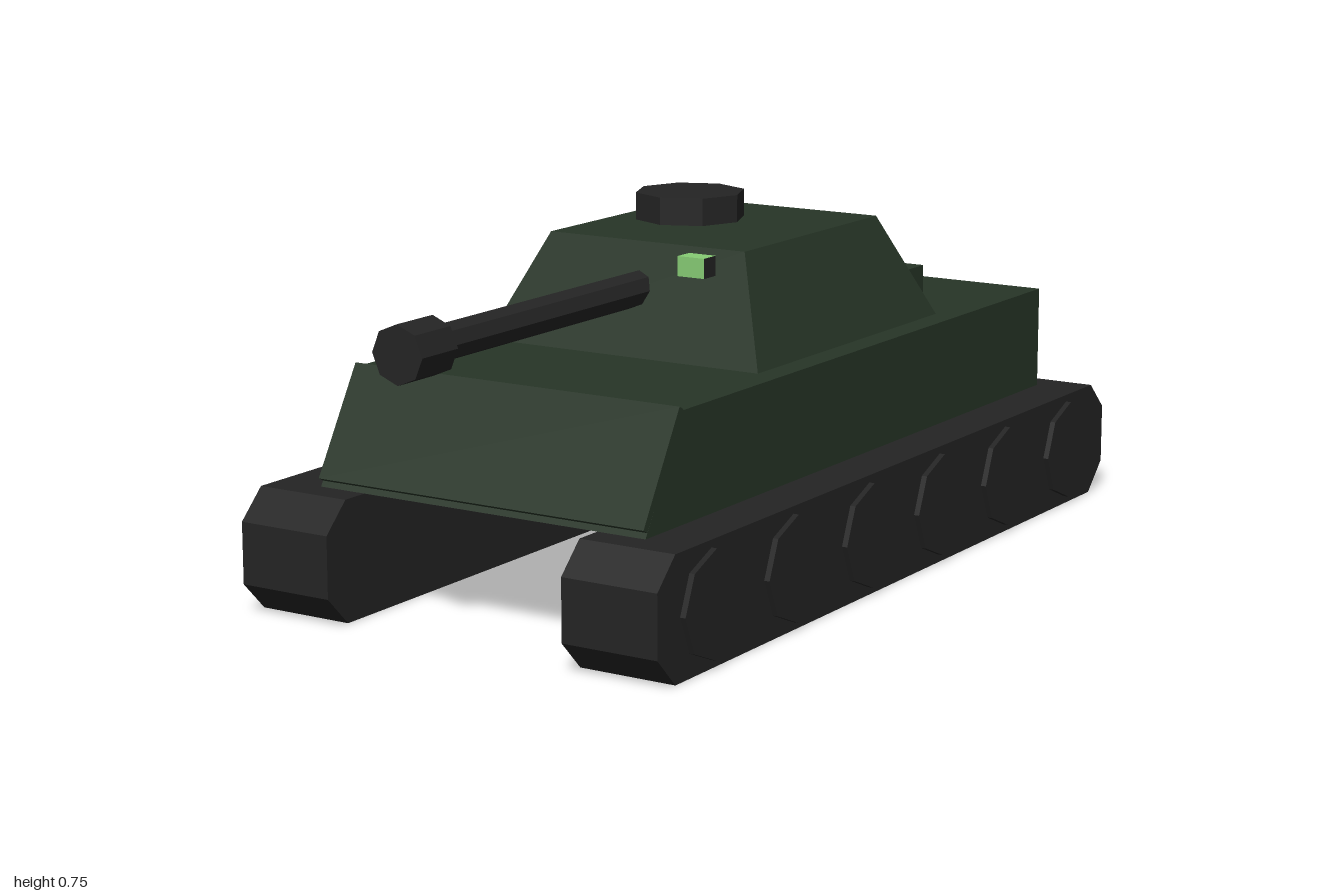
import * as THREE from 'three';

const paint = (name, color) => {
  const m = new THREE.MeshStandardMaterial({ color, flatShading: true });
  m.name = name;
  return m;
};

export function createModel() {
  const tank = new THREE.Group();
  tank.name = 'tank';
  const green = paint('armour green', 0x273527);
  const dark = paint('dark steel', 0x242424);
  const lime = paint('sight green', 0x86cc74);

  const add = (name, geometry, material, x = 0, y = 0, z = 0) => {
    const mesh = new THREE.Mesh(geometry, material);
    mesh.name = name;
    mesh.position.set(x, y, z);
    tank.add(mesh);
    return mesh;
  };
  const box = (w, h, d) => new THREE.BoxGeometry(w, h, d);
  // Side profile given as [z, y] points, extruded across the width
  const sideProfile = (points, width) => {
    const shape = new THREE.Shape(points.map(([z, y]) => new THREE.Vector2(z, y)));
    return new THREE.ExtrudeGeometry(shape, { depth: width, bevelEnabled: false })
      .translate(0, 0, -width / 2).rotateY(-Math.PI / 2);
  };
  const octagon = (r, length) => new THREE.CylinderGeometry(r, r, length, 8);

  // Hull with a sloped nose and a separate front plate
  add('hull', sideProfile([[-0.873, 0.25], [0.755, 0.25], [0.626, 0.472], [-0.873, 0.472]], 0.768), green);
  add('frontPlate', sideProfile([[0.749, 0.261], [0.762, 0.268], [0.637, 0.481], [0.624, 0.474]], 0.768), green);

  // Tracks with chamfered ends, and six road wheels on each outer side
  const trackPoints = [
    [-0.937, 0], [0.815, 0], [0.876, 0.062], [0.876, 0.19],
    [0.815, 0.25], [-0.937, 0.25], [-1, 0.19], [-1, 0.062],
  ];
  for (const side of [1, -1]) {
    const label = side > 0 ? 'left' : 'right';
    add(label + 'Track', sideProfile(trackPoints, 0.212), dark, side * 0.382);
    for (let i = 0; i < 6; i++) {
      add(label + 'Wheel' + (i + 1), octagon(0.109, 0.04).rotateZ(Math.PI / 2), dark,
        side * 0.48, 0.126, 0.69 - i * 0.3);
    }
  }

  // Turret: a box tapered towards its roof
  const turret = box(0.66, 0.221, 0.745);
  const p = turret.attributes.position;
  for (let i = 0; i < p.count; i++) {
    if (p.getY(i) > 0) p.setXYZ(i, p.getX(i) * 0.715, p.getY(i), p.getZ(i) * 0.725);
  }
  turret.computeVertexNormals();
  add('turret', turret, green, 0, 0.5825, -0.108);
  add('hatch', octagon(0.118, 0.071), dark, -0.088, 0.7155, -0.145);
  add('stowageBox', box(0.257, 0.071, 0.12), green, 0.134, 0.528, -0.485);
  add('rearPort', box(0.058, 0.05, 0.03), dark, -0.168, 0.516, -0.449);

  // Gun
  add('barrel', octagon(0.037, 0.8).rotateX(Math.PI / 2), dark, 0, 0.6, 0.5);
  add('muzzle', octagon(0.058, 0.11).rotateX(Math.PI / 2), dark, 0, 0.6, 0.945);

  // Sight block with dark cheeks on both sides
  add('sight', box(0.063, 0.041, 0.044), [dark, dark, lime, lime, lime, lime], 0.151, 0.663, 0.208);

  return tank;
}
